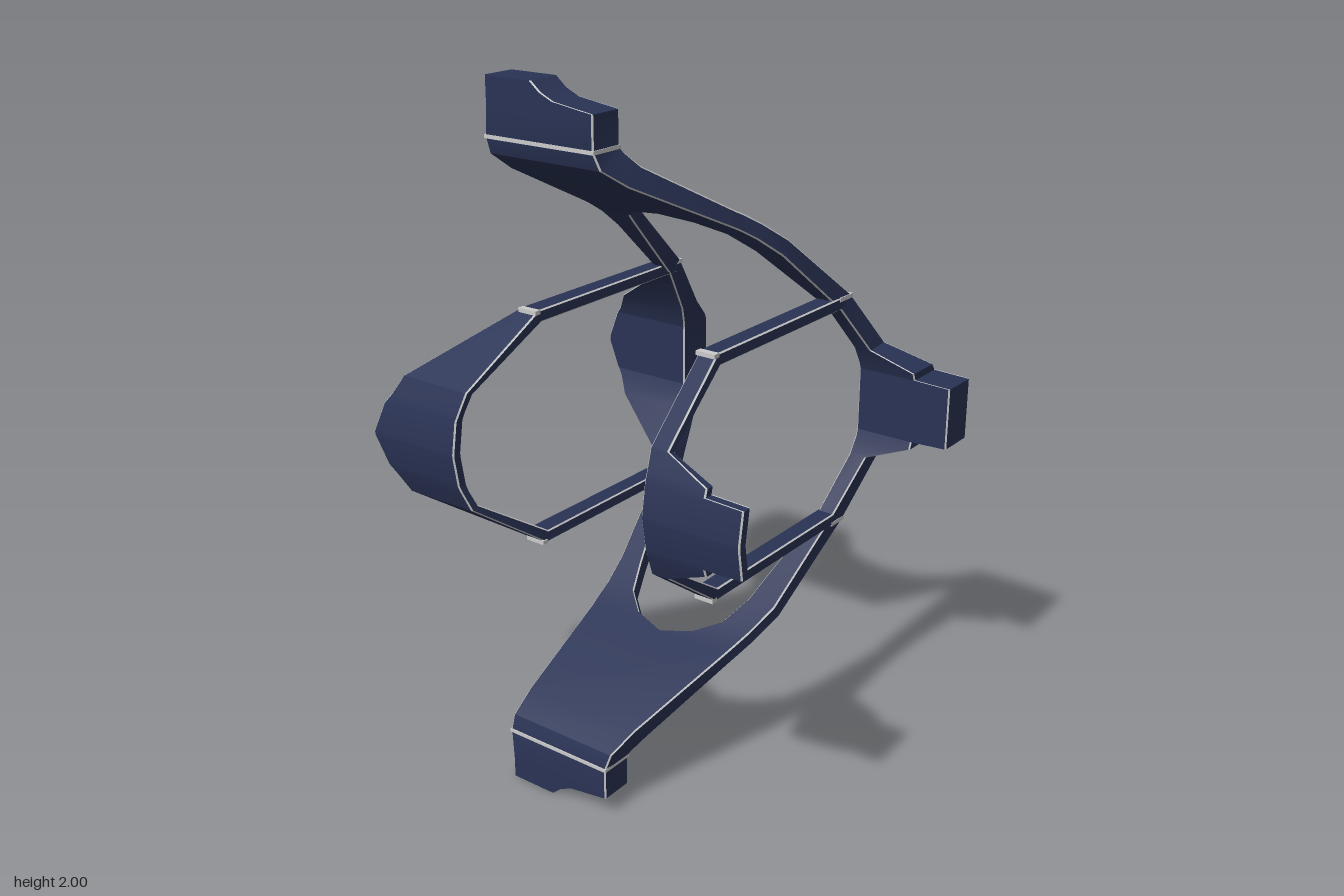
import * as THREE from 'three';
import { toCreasedNormals } from 'three/addons/utils/BufferGeometryUtils.js';

const BEVEL = 0.004;
const bodyMat = new THREE.MeshStandardMaterial({ color: 0x2a3355 });
const trimMat = new THREE.MeshStandardMaterial({ color: 0xcccccc });

// bevelled rectangular section; station = [outerX, outerY, innerX, innerY, zMin, zMax]
function section([ox, oy, ix, iy, z0, z1]) {
  const len = Math.hypot(ix - ox, iy - oy);
  const dx = (ix - ox) / len * BEVEL, dy = (iy - oy) / len * BEVEL;
  return [
    [ox, oy, z1 - BEVEL], [ox + dx, oy + dy, z1], [ix - dx, iy - dy, z1], [ix, iy, z1 - BEVEL],
    [ix, iy, z0 + BEVEL], [ix - dx, iy - dy, z0], [ox + dx, oy + dy, z0], [ox, oy, z0 + BEVEL],
  ];
}

function toMesh(points, material, name) {
  const geo = new THREE.BufferGeometry();
  geo.setAttribute('position', new THREE.Float32BufferAttribute(points.flat(), 3));
  geo.computeVertexNormals();
  const mesh = new THREE.Mesh(toCreasedNormals(geo, 0.35), material);
  mesh.name = name;
  return mesh;
}

// solid strip lofted through the stations, with pale bevelled edges
function ribbon(name, stations) {
  const rings = stations.map(section);
  const body = [], trim = [];
  for (let s = 0; s < rings.length - 1; s++) {
    for (let k = 0; k < 8; k++) {
      const n = (k + 1) % 8;
      const a = rings[s][k], b = rings[s][n], c = rings[s + 1][n], d = rings[s + 1][k];
      (k % 2 ? body : trim).push(a, b, c, a, c, d);
    }
  }
  const first = rings[0], last = rings[rings.length - 1];
  for (let k = 1; k < 7; k++) {
    body.push(first[0], first[k + 1], first[k]);
    body.push(last[0], last[k], last[k + 1]);
  }
  const group = new THREE.Group();
  group.name = name;
  group.add(toMesh(body, bodyMat, name + 'Body'), toMesh(trim, trimMat, name + 'Edges'));
  return group;
}

// reflection about mid height
const flip = (list) => list.map(([ox, oy, ix, iy, a, b]) => [ox, 2 - oy, ix, 2 - iy, a, b]);
const withZ = (profile, zs) => profile.map((p, k) => [...p, ...zs[k]]);

export function createModel() {
  const model = new THREE.Group();
  model.name = 'frame';

  // stepped wing ends, leading down to the opening in each wing
  const head = [
    [-0.39, 2.0, -0.49, 2.0, -0.22, -0.07],
    [-0.39, 1.975, -0.49, 1.975, -0.22, -0.04],
    [-0.39, 1.957, -0.49, 1.957, -0.22, 0.0],
    [-0.39, 1.94, -0.49, 1.94, -0.22, 0.12],
    [-0.39, 1.85, -0.49, 1.85, -0.225, 0.12],
    [-0.382, 1.835, -0.475, 1.805, -0.226, 0.13],
    [-0.35, 1.8, -0.4, 1.755, -0.228, 0.155],
    [-0.09, 1.655, -0.11, 1.615, -0.237, 0.25],
  ];
  model.add(ribbon('upperWingEnd', head), ribbon('lowerWingEnd', flip(head).reverse()));

  // arms either side of the openings, running round the left tips
  const armProfile = [
    [-0.09, 1.655, -0.11, 1.615],
    [-0.06, 1.64, -0.08, 1.6],
    [-0.01, 1.61, -0.03, 1.57],
    [0.07, 1.555, 0.045, 1.515],
    [0.35, 1.345, 0.3, 1.31],
    [0.5, 1.17, 0.42, 1.165],
    [0.555, 1.115, 0.442, 1.115],
    [0.57, 1.094, 0.45, 1.094],
    [0.57, 1.09, 0.45, 1.09],
    [0.57, 1.005, 0.45, 1.005],
  ];
  // tip widths: boxed at the front, pointed at the back
  const frontTip = [[0.315, 0.37], [0.32, 0.5], [0.32, 0.5], [0.32, 0.61], [0.32, 0.61]];
  const backTip = [[-0.53, -0.295], [-0.56, -0.305], [-0.577, -0.31], [-0.58, -0.31], [-0.612, -0.31]];
  const frontArm = withZ(armProfile,
    [[0.02, 0.25], [0.11, 0.26], [0.18, 0.28], [0.22, 0.31], [0.29, 0.34], ...frontTip]);
  const backArm = withZ(armProfile,
    [[-0.237, 0.02], [-0.24, -0.08], [-0.24, -0.14], [-0.245, -0.17], [-0.29, -0.25], ...backTip]);
  for (const [name, arm] of [['frontArm', frontArm], ['backArm', backArm]]) {
    model.add(ribbon(name, [...arm, ...flip(arm).reverse()]));
  }

  // thin loops closing the frame on the right
  const loopProfile = [
    [0.35, 1.345, 0.33, 1.31],
    [-0.285, 1.345, -0.275, 1.31],
    [-0.53, 1.17, -0.505, 1.16],
    [-0.553, 1.115, -0.525, 1.115],
    [-0.56, 1.094, -0.53, 1.094],
    [-0.561, 1.09, -0.531, 1.09],
    [-0.575, 1.005, -0.545, 1.005],
  ];
  const frontLoop = withZ(loopProfile, [[0.284, 0.34], [0.284, 0.34], ...frontTip]);
  const backLoop = withZ(loopProfile, [[-0.305, -0.25], [-0.31, -0.25], ...backTip]);
  for (const [name, loop] of [['frontLoop', frontLoop], ['backLoop', backLoop]]) {
    model.add(ribbon(name, [...flip(loop), ...loop.slice().reverse()]));
  }

  // pale seams at the bends
  const seams = [
    ['wingSeam', -0.44, 1.85, -0.052, 0.103, 0.01, 0.349],
    ['frontArmSeam', 0.325, 1.34, 0.313, 0.066, 0.012, 0.057],
    ['backArmSeam', 0.325, 1.34, -0.27, 0.066, 0.012, 0.042],
    ['frontLoopSeam', -0.292, 1.34, 0.312, 0.02, 0.012, 0.058],
    ['backLoopSeam', -0.292, 1.34, -0.279, 0.02, 0.012, 0.062],
  ];
  for (const [name, x, y, z, w, h, d] of seams) {
    for (const yy of [y, 2 - y]) {
      const seam = new THREE.Mesh(new THREE.BoxGeometry(w, h, d), trimMat);
      seam.position.set(x, yy, z);
      seam.name = name;
      model.add(seam);
    }
  }
  return model;
}
